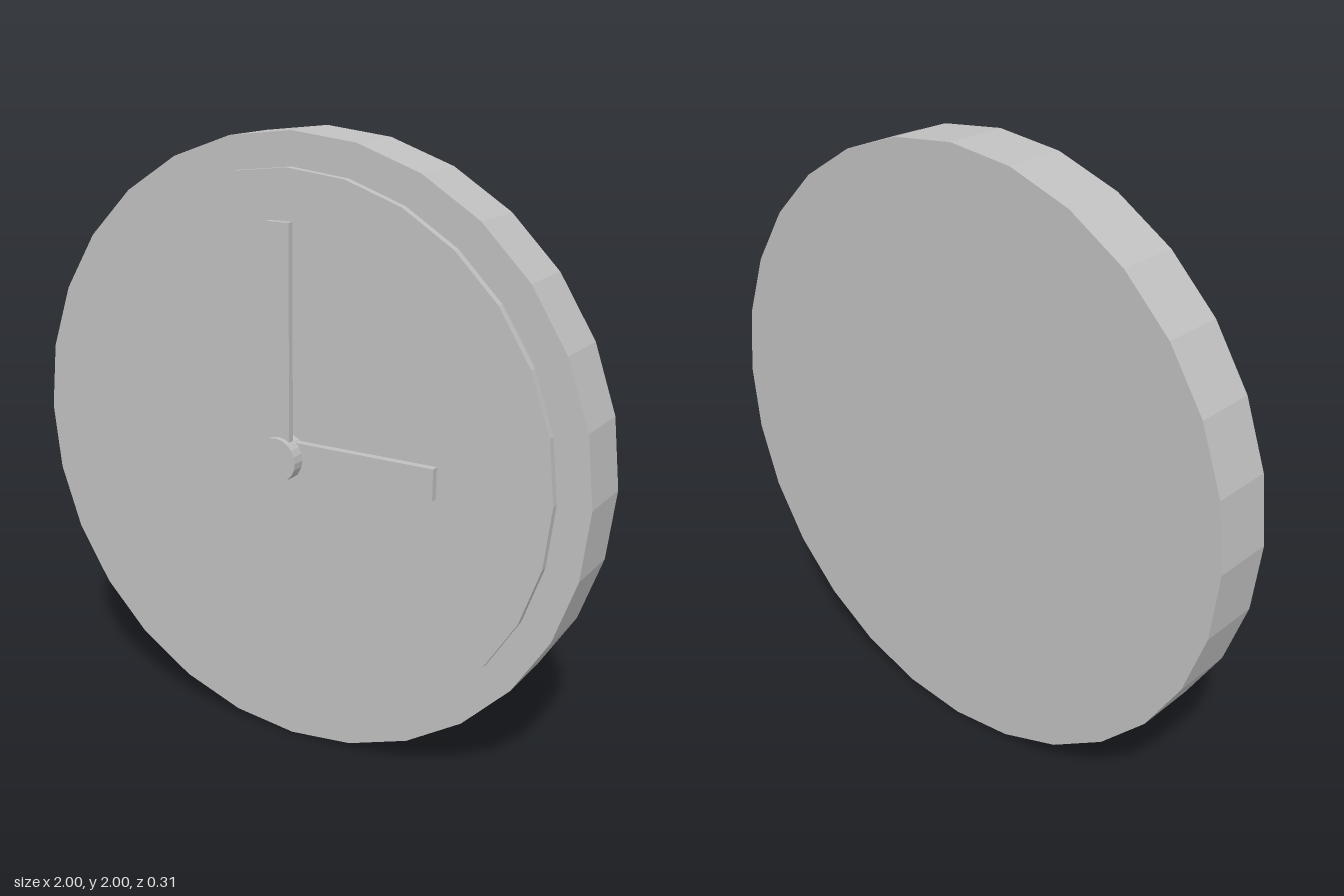
import * as THREE from 'three';

export function createModel() {
  const clock = new THREE.Group();
  clock.name = 'wallClock';
  const grey = new THREE.MeshStandardMaterial({ color: 0xc0c0c0 });
  grey.name = 'plain grey';
  grey.flatShading = true;

  const add = (name, geometry, x, y, z) => {
    const mesh = new THREE.Mesh(geometry, grey);
    mesh.name = name;
    mesh.position.set(x, y, z);
    clock.add(mesh);
  };

  // Disc facing +z between two depths
  const disc = (name, radius, sides, back, front) => {
    const geometry = new THREE.CylinderGeometry(radius, radius, front - back, sides);
    geometry.rotateX(Math.PI / 2);
    add(name, geometry, 0, 1, (back + front) / 2);
  };

  // Flat bar spanning the given ranges
  const bar = (name, x0, x1, y0, y1, z0, z1) =>
    add(name, new THREE.BoxGeometry(x1 - x0, y1 - y0, z1 - z0),
      (x0 + x1) / 2, (y0 + y1) / 2, (z0 + z1) / 2);

  disc('case', 1, 28, -0.153, 0.056);
  disc('dial', 0.894, 28, 0.056, 0.082);
  disc('hub', 0.072, 20, 0.082, 0.152);

  bar('minuteHand', -0.04, 0.04, 1, 1.74, 0.112, 0.134);
  bar('hourHand', 0, 0.525, 0.952, 1.053, 0.082, 0.107);

  return clock;
}
